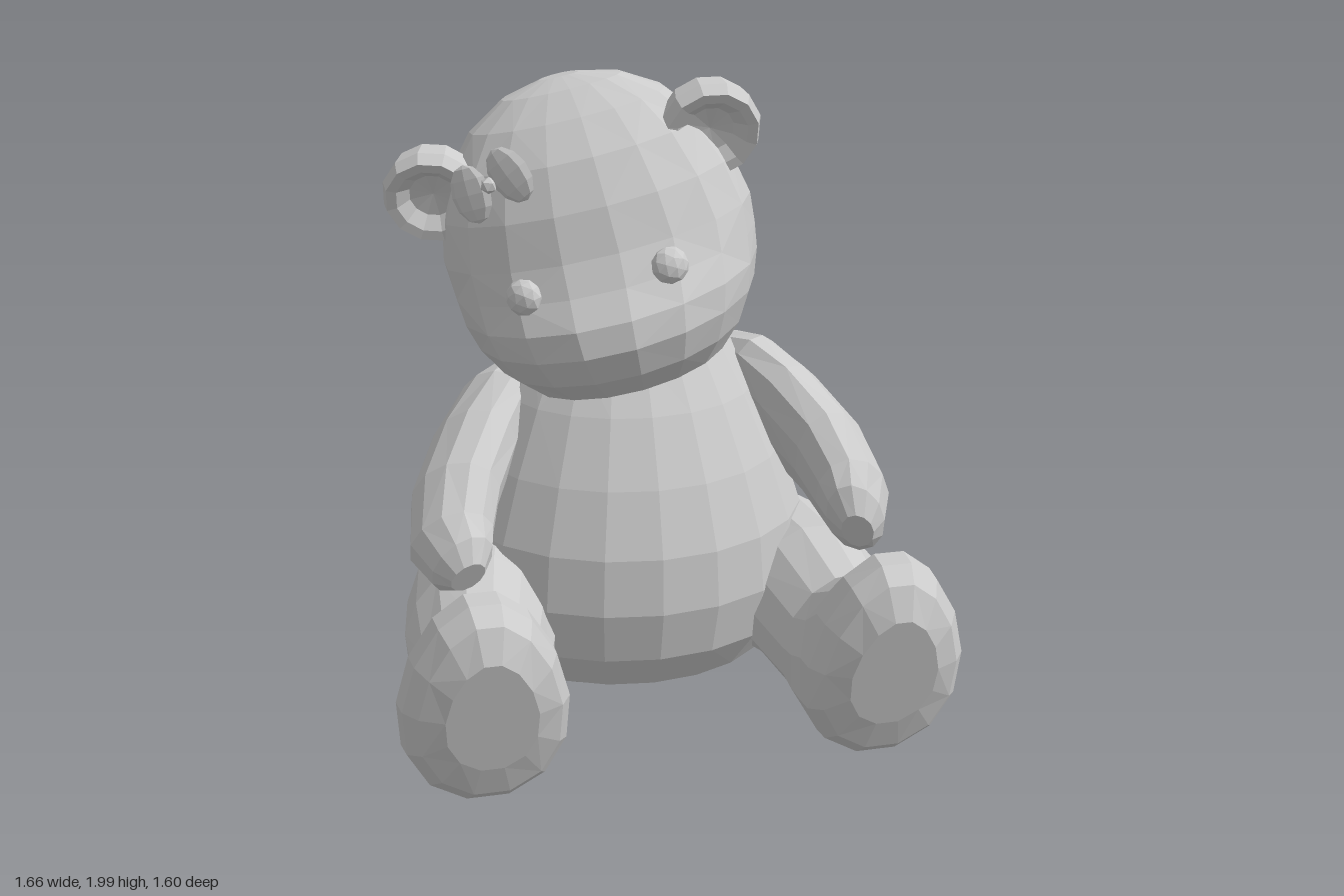
import * as THREE from 'three';

const material = new THREE.MeshStandardMaterial({ color: 0xcccccc, flatShading: true });

function add(parent, name, geometry, position = [0, 0, 0], rotation = [0, 0, 0], scale = [1, 1, 1]) {
  const mesh = new THREE.Mesh(geometry, material);
  mesh.name = name;
  mesh.position.set(...position);
  mesh.rotation.set(...rotation);
  mesh.scale.set(...scale);
  parent.add(mesh);
}

// Skin a closed solid over rings of Vector3, with a fan at each end.
function loft(rings) {
  const n = rings[0].length;
  const tris = [];
  for (let i = 0; i < rings.length - 1; i++) {
    for (let j = 0; j < n; j++) {
      const k = (j + 1) % n;
      const [a, b, c, d] = [rings[i][j], rings[i][k], rings[i + 1][k], rings[i + 1][j]];
      if ((i + j) % 2) tris.push([a, b, c], [a, c, d]);
      else tris.push([a, b, d], [b, c, d]);
    }
  }
  const cap = (ring, flip) => {
    const mid = ring.reduce((s, p) => s.add(p), new THREE.Vector3()).divideScalar(n);
    ring.forEach((p, j) => {
      const q = ring[(j + 1) % n];
      tris.push(flip ? [mid, q, p] : [mid, p, q]);
    });
  };
  cap(rings[0], true);
  cap(rings[rings.length - 1], false);
  // Turn all faces outward, whichever way the rings run.
  const volume = tris.reduce((s, [a, b, c]) => s + a.dot(b.clone().cross(c)), 0);
  if (volume < 0) tris.forEach((t) => t.reverse());
  const geometry = new THREE.BufferGeometry().setFromPoints(tris.flat());
  geometry.computeVertexNormals();
  return geometry;
}

// One ring: point(cos, sin) at n even steps.
function ring(n, point) {
  return Array.from({ length: n }, (_, j) => {
    const t = (j / n) * Math.PI * 2;
    return point(Math.cos(t), Math.sin(t));
  });
}

// Horizontal egg-shaped rings from rows of [y, halfWidth, zFront, zBack].
function stack(rows, zMid, n) {
  return loft(rows.map(([y, w, front, back]) => ring(n, (c, s) =>
    new THREE.Vector3(w * c, y, zMid + (s > 0 ? front - zMid : zMid - back) * s))));
}

// Leg rings stand upright along z: [x, y, z, radiusX, radiusY].
function legGeometry(side) {
  const rows = [
    [0.34, 0.31, -0.38, 0.12, 0.13], [0.40, 0.33, -0.30, 0.22, 0.22],
    [0.48, 0.335, -0.10, 0.255, 0.27], [0.53, 0.35, 0.15, 0.235, 0.24],
    [0.56, 0.30, 0.38, 0.20, 0.22], [0.58, 0.32, 0.48, 0.22, 0.28],
    [0.59, 0.375, 0.60, 0.24, 0.345], [0.585, 0.385, 0.68, 0.235, 0.335],
    [0.58, 0.39, 0.74, 0.20, 0.29], [0.58, 0.39, 0.775, 0.13, 0.19],
  ];
  // The foot is wider near the heel, and its toe leans forward.
  return loft(rows.map(([x, y, z, rx, ry]) => ring(14, (c, s) => new THREE.Vector3(
    side * (x + rx * c * (1 - 0.16 * s)), y + ry * s, z + (z > 0.45 ? 0.045 * s - 0.01 : 0)))));
}

// Arm rings are ellipses across the spine, leaning in at the top: [x, y, z, depth, thickness].
function armGeometry(side, slim, drop) {
  const rows = [
    [0.34, 1.05, -0.27, 0.11, 0.07], [0.42, 0.98, -0.21, 0.22, 0.11],
    [0.51, 0.88, -0.08, 0.245, 0.13], [0.59, 0.79, 0.09, 0.22, 0.13],
    [0.62, 0.71, 0.23, 0.18, 0.12], [0.60, 0.68, 0.32, 0.14, 0.09],
    [0.59, 0.66, 0.37, 0.07, 0.05],
  ];
  const spine = rows.map(([x, y, z]) => new THREE.Vector3(x, y - drop, z));
  return loft(rows.map(([, , , depth, thick], i) => {
    const along = spine[Math.min(i + 1, 6)].clone().sub(spine[Math.max(i - 1, 0)]).normalize();
    const up = new THREE.Vector3(0, -along.z, along.y).normalize();
    const out = along.clone().cross(up).normalize();
    up.x = -0.25;
    up.y = Math.abs(up.y);
    up.z = Math.abs(up.z);
    return ring(12, (c, s) => {
      const p = spine[i].clone().addScaledVector(up, depth * slim * s).addScaledVector(out, thick * c);
      p.x *= side;
      return p;
    });
  }));
}

export function createModel() {
  const bear = new THREE.Group();
  bear.name = 'teddyBear';

  add(bear, 'body', stack([
    [0.01, 0.20, -0.08, -0.38], [0.05, 0.36, 0.07, -0.49], [0.12, 0.46, 0.20, -0.57],
    [0.25, 0.55, 0.29, -0.64], [0.42, 0.58, 0.33, -0.69], [0.60, 0.56, 0.32, -0.685],
    [0.80, 0.49, 0.26, -0.63], [1.00, 0.40, 0.17, -0.54], [1.15, 0.32, 0.08, -0.47],
    [1.30, 0.25, 0.00, -0.42],
  ], -0.18, 20));

  // The right arm is slimmer and hangs a little lower.
  add(bear, 'leftArm', armGeometry(1, 1, 0));
  add(bear, 'rightArm', armGeometry(-1, 0.75, 0.03));
  add(bear, 'leftLeg', legGeometry(1));
  add(bear, 'rightLeg', legGeometry(-1));

  add(bear, 'tail', new THREE.IcosahedronGeometry(0.135, 1), [0.02, 0.23, -0.655], [0.5, 0, 0], [1, 1, 1.05]);

  // Head, tilted and turned to the bear's right
  const head = new THREE.Group();
  head.name = 'head';
  head.position.set(-0.12, 1.52, -0.05);
  head.rotation.set(0, -0.23, 0.23);
  bear.add(head);

  add(head, 'skullAndSnout', stack([
    [-0.44, 0.20, 0.20, -0.20], [-0.40, 0.31, 0.34, -0.30], [-0.32, 0.38, 0.44, -0.38],
    [-0.23, 0.43, 0.485, -0.43], [-0.15, 0.455, 0.475, -0.45], [-0.07, 0.465, 0.415, -0.455],
    [0.02, 0.47, 0.37, -0.455], [0.15, 0.44, 0.335, -0.425], [0.28, 0.38, 0.27, -0.36],
    [0.38, 0.295, 0.18, -0.27], [0.45, 0.18, 0.09, -0.15], [0.48, 0.06, 0.02, -0.05],
  ], 0, 18));

  // Thick cupped ear with a raised rim
  const ear = new THREE.LatheGeometry([
    [0, -0.13], [0.08, -0.115], [0.135, -0.05], [0.15, 0.02],
    [0.135, 0.06], [0.105, 0.055], [0.07, 0.02], [0, 0.01],
  ].map(([r, y]) => new THREE.Vector2(r, y)), 12).rotateX(Math.PI / 2);
  add(head, 'leftEar', ear, [0.395, 0.255, 0.08], [0.35, 0.1, 0]);
  add(head, 'rightEar', ear, [-0.43, 0.245, 0.07], [0.35, -0.1, 0]);

  for (const [side, label] of [[1, 'left'], [-1, 'right']]) {
    add(head, label + 'Eye', new THREE.IcosahedronGeometry(0.056, 1), [side * 0.21, -0.05, 0.355], [0, side * 0.5, 0], [1, 1, 0.8]);
  }

  // Small bow in front of the right ear
  const bow = new THREE.Group();
  bow.name = 'bow';
  bow.position.set(-0.46, 1.725, 0.13);
  bow.rotation.set(0, -0.6, 0.5);
  bear.add(bow);
  for (const side of [1, -1]) {
    add(bow, 'bowLoop', new THREE.SphereGeometry(0.075, 8, 6), [side * 0.07, 0, 0], [0, 0, side * 0.2], [0.85, 1.15, 0.25]);
  }
  add(bow, 'bowKnot', new THREE.IcosahedronGeometry(0.025, 0), [0, 0, 0.01]);

  return bear;
}
